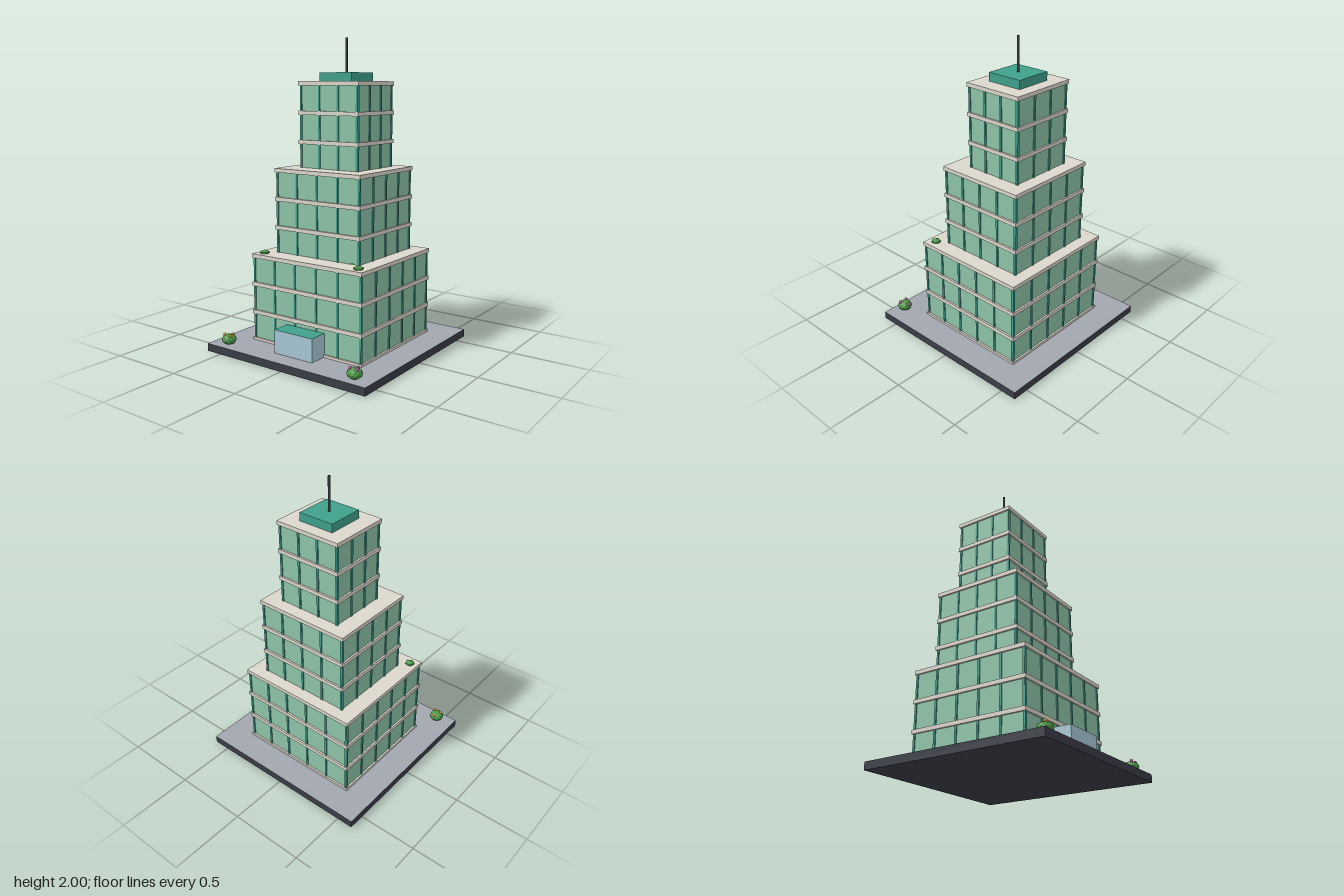
import * as THREE from 'three';

const mat = (color, flatShading = false) => new THREE.MeshStandardMaterial({ color, flatShading });

export function createModel() {
  const model = new THREE.Group();
  const glass = mat(0x8ec4a8), teal = mat(0x3fa08c), stone = mat(0xdcd7cb);
  const dark = mat(0x3b3d48), paving = mat(0xa1a6b0), doorGlass = mat(0xa8c8d6);
  const leaf = mat(0x4c9a48, true), orange = mat(0xe0952f), pink = mat(0xd05aa8);

  const add = (parent, name, geometry, material, x, y, z) => {
    const mesh = new THREE.Mesh(geometry, material);
    mesh.name = name;
    mesh.position.set(x, y, z);
    parent.add(mesh);
    return mesh;
  };
  const box = (parent, name, w, h, d, material, x, y, z) =>
    add(parent, name, new THREE.BoxGeometry(w, h, d), material, x, y, z);
  // box whose upper face has its own colour
  const topped = (side, top) => [side, side, top, side, side, side];

  // Plinth with paved top
  box(model, 'plinth', 1.22, 0.05, 1.22, topped(dark, paving), 0, 0.025, 0);

  // Stepped tower: w and d are slab sizes, y is the lowest slab centre
  const FLOOR = 0.186, SLAB = 0.026, MULLION = 0.014;
  const tiers = [
    { name: 'lowerTier', w: 0.854, d: 0.806, z: -0.027, y: 0.053, bays: 5 },
    { name: 'middleTier', w: 0.66, d: 0.614, z: -0.052, y: 0.603, bays: 4 },
    { name: 'upperTier', w: 0.462, d: 0.412, z: -0.076, y: 1.154, bays: 3 },
  ];
  for (const t of tiers) {
    const tier = new THREE.Group();
    tier.name = t.name;
    tier.position.set(0, t.y, t.z);
    model.add(tier);
    const h = FLOOR * 3, gw = t.w - 0.024, gd = t.d - 0.024;
    box(tier, 'glassWalls', gw, h, gd, glass, 0, h / 2, 0);
    for (let i = 0; i <= 3; i++)
      box(tier, 'floorSlab', t.w, SLAB, t.d, stone, 0, i * FLOOR, 0);
    // Mullions on all four walls
    for (let i = 0; i <= t.bays; i++) {
      const f = i / t.bays - 0.5;
      for (const s of [-1, 1]) {
        box(tier, 'mullion', MULLION, h, 0.012, teal, f * (gw - 0.006), h / 2, s * gd / 2);
        box(tier, 'mullion', 0.012, h, MULLION, teal, s * gw / 2, h / 2, f * (gd - 0.006));
      }
    }
  }

  // Roof box and antenna
  box(model, 'roofBox', 0.246, 0.056, 0.246, teal, 0, 1.752, -0.076);
  add(model, 'antenna', new THREE.CylinderGeometry(0.008, 0.008, 0.23, 8), dark, 0, 1.885, -0.076);

  // Entrance porch
  box(model, 'entrance', 0.294, 0.15, 0.13, topped(doorGlass, teal), 0, 0.125, 0.425);

  // Faceted shrubs, squashed, with a vertex pointing up
  const shrub = (name, x, y, z, r, detail, squash) => {
    const g = new THREE.IcosahedronGeometry(r, detail);
    g.rotateX(-Math.atan((1 + Math.sqrt(5)) / 2));
    g.scale(1, squash, 1);
    return add(model, name, g, leaf, x, y, z);
  };
  shrub('roofShrub', -0.37, 0.622, 0.317, 0.036, 0, 0.7);
  shrub('roofShrub', 0.365, 0.622, 0.317, 0.036, 0, 0.7);
  shrub('roofShrub', 0.27, 0.618, 0.235, 0.027, 0, 0.6);

  // Flowering shrubs at the front corners
  for (const [x, petal] of [[-0.49, orange], [0.49, pink]]) {
    shrub('cornerShrub', x, 0.083, 0.536, 0.048, 1, 0.72);
    for (const [dx, dy, dz] of [[0, 0.022, -0.036], [-0.024, 0.03, 0.014], [0.025, 0.03, 0.014]])
      add(model, 'flower', new THREE.IcosahedronGeometry(0.011, 1), petal, x + dx, 0.083 + dy, 0.536 + dz);
  }
  return model;
}
